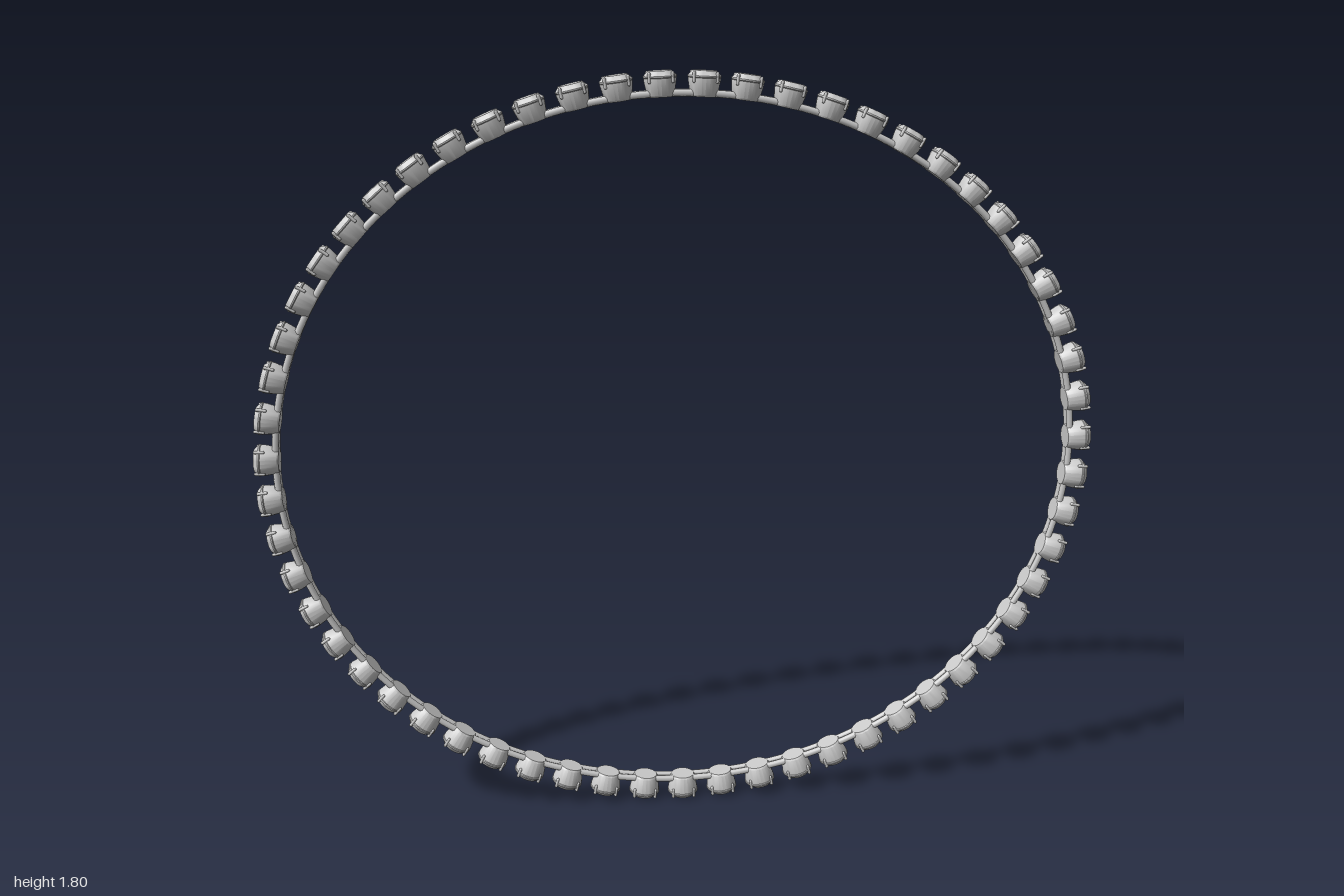
import * as THREE from 'three';
import { toCreasedNormals } from 'three/addons/utils/BufferGeometryUtils.js';

const STONES = 59;
const A = 0.94, B = 0.84, CY = 0.9; // inner half-width, half-height and centre of the oval

// Point on the oval pushed outwards along its normal; t = 0 is the bottom
function ovalPoint(t, offset) {
  const nx = Math.sin(t) / A, ny = -Math.cos(t) / B, len = Math.hypot(nx, ny);
  return {
    x: A * Math.sin(t) + (nx / len) * offset,
    y: CY - B * Math.cos(t) + (ny / len) * offset,
    angle: Math.atan2(ny, nx) - Math.PI / 2,
  };
}

// Parameters spaced at equal distances along the oval
function evenParameters(count, offset) {
  const steps = 4000, lengths = [0];
  let prev = ovalPoint(0, offset);
  for (let i = 1; i <= steps; i++) {
    const p = ovalPoint((i / steps) * Math.PI * 2, offset);
    lengths.push(lengths[i - 1] + Math.hypot(p.x - prev.x, p.y - prev.y));
    prev = p;
  }
  const result = [];
  for (let k = 0, i = 0; k < count; k++) {
    while (lengths[i] < (k / count) * lengths[steps]) i++;
    result.push((i / steps) * Math.PI * 2);
  }
  return result;
}

function lathe(points, segments) {
  const profile = points.map(([r, y]) => new THREE.Vector2(r, y));
  return toCreasedNormals(new THREE.LatheGeometry(profile, segments), 0.5);
}

export function createModel() {
  const model = new THREE.Group();
  model.name = 'bracelet';
  const material = new THREE.MeshStandardMaterial({ color: 0xcccccc });

  const add = (parent, geometry, name) => {
    const mesh = new THREE.Mesh(geometry, material);
    mesh.name = name;
    parent.add(mesh);
    return mesh;
  };

  // Two slim rails that carry the settings
  for (const side of [-1, 1]) {
    const path = [];
    for (let i = 0; i < 120; i++) {
      const p = ovalPoint((i / 120) * Math.PI * 2, 0.009);
      path.push(new THREE.Vector3(p.x, p.y, side * 0.011));
    }
    const curve = new THREE.CatmullRomCurve3(path, true);
    add(model, new THREE.TubeGeometry(curve, 240, 0.008, 8, true), side > 0 ? 'frontRail' : 'backRail');
  }

  // Shared shapes: tapered cup, cut stone and prong
  const cup = lathe([[0, 0.001], [0.028, 0.001], [0.031, 0.005], [0.037, 0.038], [0.037, 0.042], [0, 0.042]], 24);
  const stone = lathe([[0.035, 0.041], [0.038, 0.044], [0.038, 0.047], [0.027, 0.058], [0, 0.058]], 24);
  const prong = new THREE.CapsuleGeometry(0.004, 0.018, 3, 6);

  // Settings evenly strung around the oval, facing outwards
  for (const t of evenParameters(STONES, 0.035)) {
    const setting = new THREE.Group();
    setting.name = 'setting';
    const p = ovalPoint(t, 0);
    setting.position.set(p.x, p.y, 0);
    setting.rotation.z = p.angle;
    add(setting, cup, 'cup');
    add(setting, stone, 'stone');
    for (let i = 0; i < 4; i++) {
      const a = Math.PI / 4 + (i * Math.PI) / 2;
      add(setting, prong, 'prong').position.set(Math.cos(a) * 0.037, 0.044, Math.sin(a) * 0.037);
    }
    model.add(setting);
  }
  return model;
}
